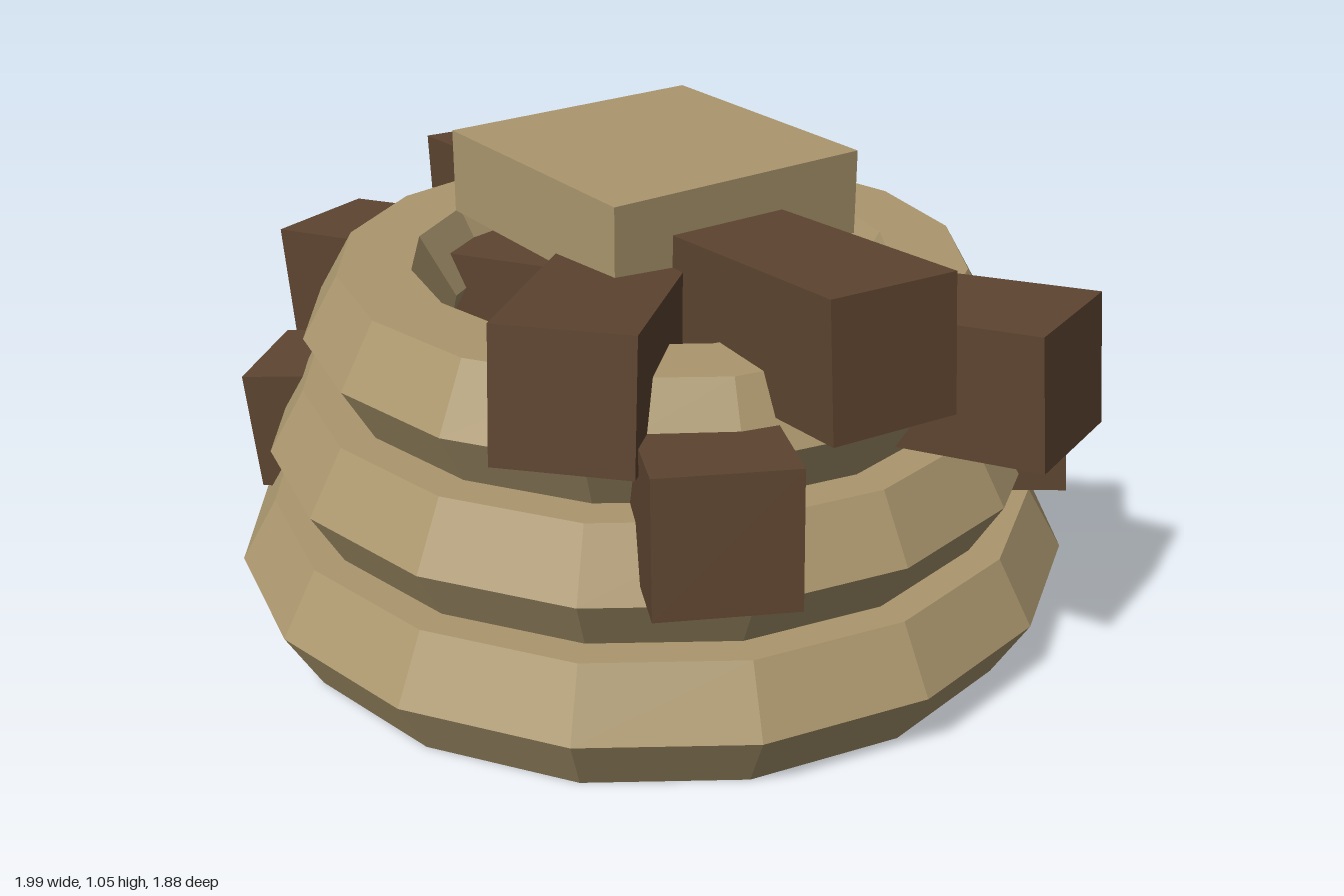
import * as THREE from 'three';

export function createModel() {
  const model = new THREE.Group();
  model.name = 'stackedRingsWithBeams';

  const straw = new THREE.MeshStandardMaterial({ color: 0xab976e, flatShading: true });
  straw.name = 'straw';
  const wood = new THREE.MeshStandardMaterial({ color: 0x5e4530, flatShading: true });
  wood.name = 'dark wood';

  const add = (name, geometry, material, y) => {
    const mesh = new THREE.Mesh(geometry, material);
    mesh.name = name;
    mesh.position.y = y;
    model.add(mesh);
    return mesh;
  };

  // Three stacked hexagonal-section rings, narrowing upward
  [0.78, 0.7, 0.61].forEach((radius, i) => {
    const ring = new THREE.TorusGeometry(radius, 0.16, 6, 16);
    ring.rotateX(-Math.PI / 2);
    add('ring' + (i + 1), ring, straw, 0.14 + i * 0.26);
  });

  // Crossing beams: length, heading in degrees, centre height; all rise gently toward +x
  const beams = [
    [1.85, 43, 0.42],
    [1.92, -27.3, 0.495],
    [2.0, 20, 0.64],
    [1.62, -47.3, 0.72],
    [1.78, -5.6, 0.79],
  ];
  beams.forEach(([length, heading, y], i) => {
    const beam = add('beam' + (i + 1), new THREE.BoxGeometry(length, 0.28, 0.28), wood, y);
    beam.rotation.set(0, THREE.MathUtils.degToRad(heading), 0.098);
  });

  // Square cap block
  add('cap', new THREE.BoxGeometry(0.625, 0.185, 0.625), straw, 0.958);

  return model;
}
